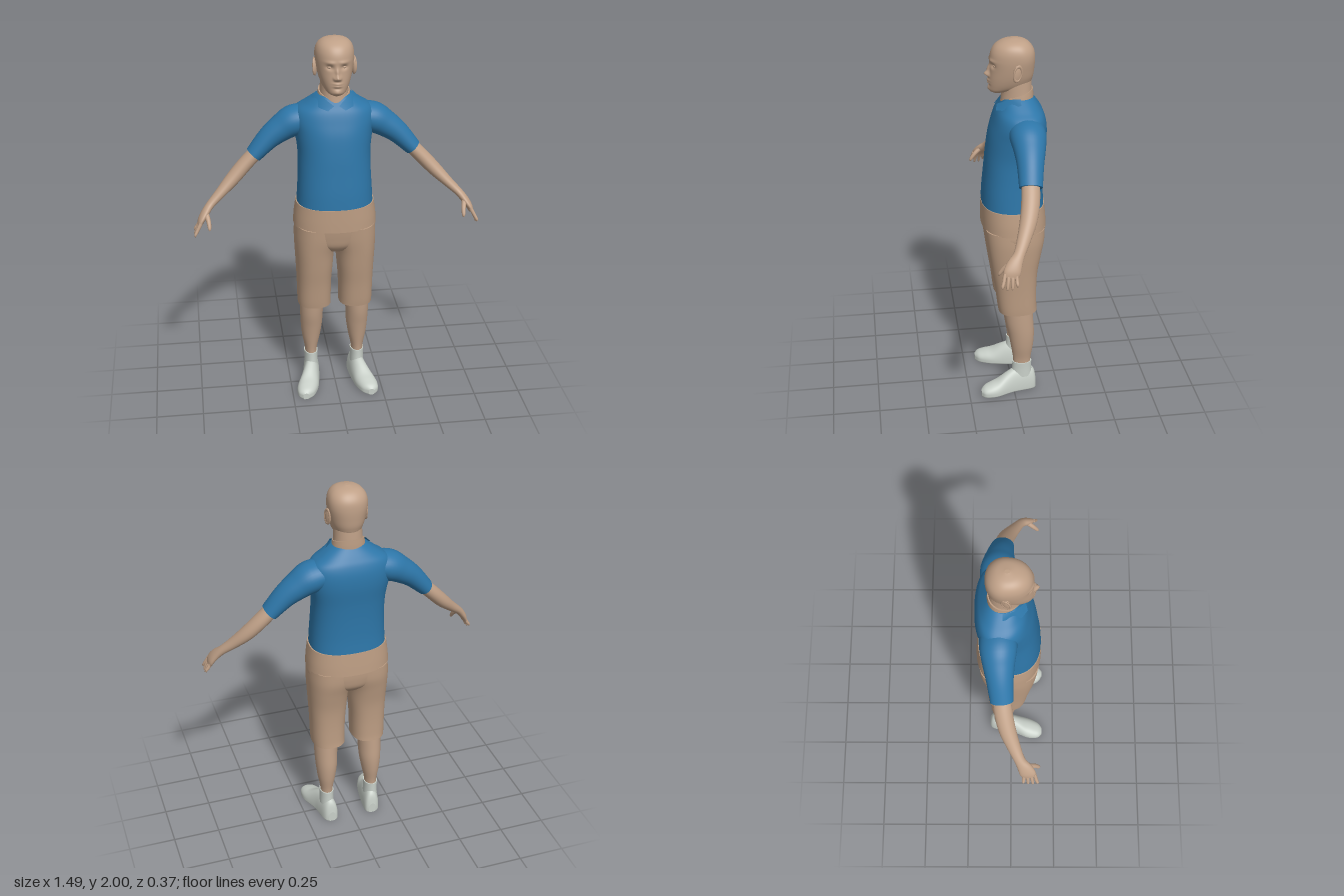
import * as THREE from 'three';

const material = (name, color, side = THREE.FrontSide) => {
  const m = new THREE.MeshStandardMaterial({ color, side });
  m.name = name;
  return m;
};

// Signed power, used for superellipse sections
const spow = (v, p) => Math.sign(v) * Math.pow(Math.abs(v), p);

// Smoothly insert in-between sections (Catmull-Rom on every column)
function refine(rows, steps) {
  const out = [];
  const at = i => rows[Math.min(Math.max(i, 0), rows.length - 1)];
  for (let i = 0; i < rows.length - 1; i++) {
    for (let k = 0; k < steps; k++) {
      const t = k / steps;
      out.push(at(i).map((b, c) => {
        const a = at(i - 1)[c], d = at(i + 1)[c], e = at(i + 2)[c];
        return b + 0.5 * t * (d - a + t * (2 * a - 5 * b + 4 * d - e + t * (3 * (b - d) + e - a)));
      }));
    }
  }
  out.push(rows[rows.length - 1]);
  return out;
}

// Skin a list of sections; point(row, angle, index, rows) gives [x, y, z]
function loft(rows, point, seg = 40, steps = 5) {
  const all = refine(rows, steps), pos = [], idx = [];
  all.forEach((row, i) => {
    for (let j = 0; j < seg; j++) pos.push(...point(row, (j / seg) * Math.PI * 2, i, all));
  });
  for (let i = 0; i < all.length - 1; i++) {
    for (let j = 0; j < seg; j++) {
      const k = (j + 1) % seg, a = i * seg, b = a + seg;
      idx.push(a + j, b + j, b + k, a + j, b + k, a + k);
    }
  }
  // End caps with their own vertices so the rim stays crisp
  for (const end of [0, all.length - 1]) {
    const base = pos.length / 3, c = [0, 0, 0];
    for (let j = 0; j < seg; j++) {
      const p = pos.slice((end * seg + j) * 3, (end * seg + j) * 3 + 3);
      p.forEach((v, n) => { c[n] += v / seg; });
      pos.push(...p);
    }
    pos.push(...c);
    for (let j = 0; j < seg; j++) {
      const k = (j + 1) % seg;
      idx.push(base + seg, base + (end ? k : j), base + (end ? j : k));
    }
  }
  const g = new THREE.BufferGeometry();
  g.setAttribute('position', new THREE.Float32BufferAttribute(pos, 3));
  g.setIndex(idx);
  g.computeVertexNormals();
  return g;
}

// Level section: [y, centre x, half width, back z, widest z, front z]
const level = n => ([y, cx, rx, zb, zm, zf], a) => {
  const c = spow(Math.cos(a), 2 / n), s = spow(Math.sin(a), 2 / n);
  return [cx + rx * c, y, zm + s * (s > 0 ? zf - zm : zm - zb)];
};

// Limb section across its path: [x, y, z, radius along z, radius across]
function limb([x, y, z, ru, rv], a, i, all) {
  const p = all[Math.max(i - 1, 0)], q = all[Math.min(i + 1, all.length - 1)];
  const t = new THREE.Vector3(q[0] - p[0], q[1] - p[1], q[2] - p[2]).normalize();
  const u = new THREE.Vector3(0, 0, 1).addScaledVector(t, -t.z).normalize();
  const v = u.clone().cross(t);
  const o = u.multiplyScalar(ru * Math.cos(a)).addScaledVector(v, rv * Math.sin(a));
  return [x + o.x, y + o.y, z + o.z];
}

// Shoe section, flat below: [z, centre x, half width, height]
function shoeSection([z, cx, w, h], a) {
  const c = Math.cos(a), s = -Math.sin(a);
  return [cx + w * spow(c, s > 0 ? 0.9 : 0.35),
    s > 0 ? 0.025 + (h - 0.025) * s : 0.025 + 0.025 * spow(s, 0.35), z];
}

function mirrored(geometry) {
  const g = geometry.clone();
  const p = g.attributes.position, ix = g.index.array;
  for (let i = 0; i < p.count; i++) p.setX(i, -p.getX(i));
  for (let i = 0; i < ix.length; i += 3) [ix[i + 1], ix[i + 2]] = [ix[i + 2], ix[i + 1]];
  g.computeVertexNormals();
  return g;
}

export function createModel() {
  const model = new THREE.Group();
  model.name = 'standingMan';
  const skin = material('skin', 0xbfa087);
  const cloth = material('beigeCloth', 0xbb9c82);
  const blue = material('blueShirt', 0x2d76a8, THREE.DoubleSide);
  const white = material('shoeWhite', 0xc8cfc8);

  const add = (name, geometry, mat) => {
    const m = new THREE.Mesh(geometry, mat);
    m.name = name;
    model.add(m);
  };
  const pair = (name, geometry, mat) => {
    add(name + 'Left', geometry, mat);
    add(name + 'Right', mirrored(geometry), mat);
  };

  // Head, with features pushed out of or into the face
  const head = loft([
    [1.722, 0, 0.02, 0.03, 0.065, 0.09], [1.735, 0, 0.045, -0.02, 0.05, 0.106],
    [1.76, 0, 0.066, -0.09, 0.01, 0.111], [1.80, 0, 0.082, -0.112, -0.01, 0.110],
    [1.85, 0, 0.093, -0.12, -0.02, 0.105], [1.90, 0, 0.099, -0.123, -0.03, 0.105],
    [1.94, 0, 0.096, -0.118, -0.03, 0.096], [1.97, 0, 0.082, -0.1, -0.025, 0.075],
    [1.99, 0, 0.055, -0.072, -0.02, 0.04], [2.0, 0, 0.01, -0.03, -0.02, -0.005],
  ], level(2.15), 128, 9);
  const bumps = [ // x, y, width, height, push
    [0, 1.822, 0.013, 0.013, 0.024], [0, 1.848, 0.009, 0.02, 0.013], [0.014, 1.817, 0.007, 0.008, 0.009],
    [0.036, 1.872, 0.017, 0.011, -0.013], [0.035, 1.897, 0.025, 0.008, 0.005],
    [0, 1.791, 0.02, 0.005, 0.009], [0, 1.778, 0.018, 0.005, 0.008],
    [0, 1.766, 0.02, 0.006, -0.004], [0, 1.745, 0.02, 0.012, 0.006],
  ];
  const hp = head.attributes.position;
  for (let i = 0; i < hp.count; i++) {
    if (hp.getZ(i) < 0.03) continue;
    let push = 0;
    for (const [x, y, w, h, d] of bumps)
      push += d * Math.exp(-(((Math.abs(hp.getX(i)) - x) / w) ** 2) - ((hp.getY(i) - y) / h) ** 2);
    hp.setZ(i, hp.getZ(i) + push);
  }
  head.computeVertexNormals();
  add('head', head, skin);
  pair('eyelid', new THREE.SphereGeometry(0.012, 20, 14).scale(1.15, 0.75, 1).translate(0.036, 1.871, 0.079), skin);
  pair('ear', new THREE.SphereGeometry(1, 20, 16).scale(0.01, 0.046, 0.024)
    .rotateX(-0.15).rotateY(0.3).translate(0.097, 1.845, -0.022), skin);
  pair('earRim', new THREE.TorusGeometry(0.021, 0.005, 8, 24).scale(1, 1.8, 1)
    .rotateY(Math.PI / 2 + 0.3).rotateX(-0.15).translate(0.102, 1.847, -0.024), skin);
  add('neck', loft([
    [1.64, 0, 0.075, -0.105, -0.04, 0.055], [1.70, 0, 0.074, -0.108, -0.04, 0.048],
    [1.74, 0, 0.072, -0.108, -0.035, 0.046], [1.80, 0, 0.07, -0.105, -0.03, 0.05],
  ], level(2.1)), skin);

  // Shirt body, collar and hem
  add('shirtBody', loft([
    [1.12, 0, 0.2, -0.17, -0.02, 0.155], [1.2, 0, 0.195, -0.165, -0.02, 0.15],
    [1.3, 0, 0.19, -0.165, -0.03, 0.14], [1.4, 0, 0.19, -0.17, -0.05, 0.13],
    [1.5, 0, 0.203, -0.18, -0.07, 0.115], [1.57, 0, 0.212, -0.178, -0.07, 0.095],
    [1.62, 0, 0.198, -0.165, -0.07, 0.078], [1.655, 0, 0.15, -0.145, -0.06, 0.06],
    [1.69, 0, 0.1, -0.12, -0.045, 0.042], [1.70, 0, 0.085, -0.112, -0.04, 0.036],
  ], level(2.4), 56), blue);
  const ring = level(2.1);
  add('neckBand', loft([
    [1.69, 0, 0.088, -0.117, -0.04, 0.052], [1.715, 0, 0.085, -0.116, -0.04, 0.05],
    [1.742, 0, 0.08, -0.114, -0.04, 0.046],
  ], (row, a) => {
    const [x, y, z] = ring(row, a);
    return [x, y - 0.3 * (z + 0.115), z];
  }), cloth);
  const flap = new THREE.BufferGeometry();
  flap.setAttribute('position', new THREE.Float32BufferAttribute([
    0.092, 1.71, -0.04, 0.078, 1.705, 0.015, 0.012, 1.662, 0.07,
    0.118, 1.685, -0.04, 0.088, 1.652, 0.052, 0.045, 1.64, 0.08,
  ], 3));
  flap.setIndex([0, 3, 1, 1, 3, 4, 1, 4, 2, 2, 4, 5]);
  flap.computeVertexNormals();
  pair('collarFlap', flap, blue);
  add('hemBand', loft([
    [0.995, 0, 0.22, -0.184, -0.02, 0.158], [1.05, 0, 0.216, -0.18, -0.02, 0.158],
    [1.122, 0, 0.206, -0.173, -0.02, 0.157],
  ], level(2.4), 56), cloth);

  // Shorts
  add('shortsSeat', loft([
    [0.86, 0, 0.08, -0.12, -0.02, 0.1], [0.9, 0, 0.17, -0.155, -0.02, 0.13],
    [0.95, 0, 0.213, -0.167, -0.02, 0.142], [1.0, 0, 0.214, -0.17, -0.02, 0.15],
  ], level(2.4), 56), cloth);
  pair('shortsLeg', loft([
    [0.51, 0.112, 0.09, -0.128, -0.02, 0.08], [0.55, 0.113, 0.091, -0.125, -0.02, 0.086],
    [0.65, 0.113, 0.093, -0.124, -0.02, 0.098], [0.75, 0.111, 0.099, -0.13, -0.02, 0.114],
    [0.85, 0.109, 0.106, -0.148, -0.02, 0.128], [0.93, 0.098, 0.119, -0.165, -0.02, 0.139],
    [1.0, 0.095, 0.118, -0.168, -0.02, 0.145],
  ], level(2.4)), cloth);

  // Legs, socks and shoes
  pair('leg', loft([
    [0.14, 0.13, 0.034, -0.094, -0.05, 0], [0.2, 0.13, 0.034, -0.095, -0.05, 0.002],
    [0.28, 0.129, 0.049, -0.108, -0.045, 0.014], [0.36, 0.127, 0.059, -0.113, -0.04, 0.028],
    [0.45, 0.126, 0.063, -0.108, -0.03, 0.045], [0.58, 0.12, 0.068, -0.1, -0.02, 0.056],
  ], level(2)), skin);
  pair('sock', loft([
    [0.09, 0.13, 0.038, -0.102, -0.05, 0.012], [0.14, 0.13, 0.037, -0.1, -0.05, 0.007],
    [0.18, 0.13, 0.038, -0.1, -0.05, 0.006],
  ], level(2)), white);
  pair('shoe', loft([
    [-0.125, 0.12, 0.02, 0.06], [-0.115, 0.121, 0.035, 0.11], [-0.09, 0.124, 0.043, 0.135],
    [-0.04, 0.13, 0.046, 0.138], [0, 0.136, 0.048, 0.132], [0.04, 0.146, 0.052, 0.112],
    [0.09, 0.161, 0.058, 0.08], [0.13, 0.171, 0.054, 0.066], [0.165, 0.178, 0.041, 0.053],
    [0.185, 0.182, 0.015, 0.036],
  ], shoeSection), white);

  // Sleeves, arms and hands
  pair('sleeve', loft([
    [0.1, 1.575, -0.062, 0.085, 0.06], [0.2, 1.552, -0.062, 0.092, 0.08],
    [0.27, 1.513, -0.06, 0.08, 0.07], [0.34, 1.46, -0.054, 0.067, 0.058],
    [0.418, 1.378, -0.045, 0.058, 0.044],
  ], limb), blue);
  pair('arm', loft([
    [0.38, 1.415, -0.048, 0.045, 0.036], [0.46, 1.335, -0.038, 0.046, 0.038],
    [0.53, 1.262, -0.018, 0.043, 0.036], [0.6, 1.195, 0.015, 0.034, 0.027],
    [0.655, 1.145, 0.045, 0.028, 0.021], [0.685, 1.11, 0.07, 0.037, 0.02],
    [0.705, 1.08, 0.085, 0.041, 0.017], [0.715, 1.055, 0.093, 0.036, 0.012],
  ], limb), skin);
  [1.016, 1.002, 1.0, 1.01].forEach((tip, k) => {
    const z = 0.066 + 0.018 * k, end = 0.064 + 0.024 * k;
    pair('finger' + (k + 1), loft([
      [0.708, 1.075, z, 0.009, 0.01], [0.726, 1.042, (z + end) / 2, 0.009, 0.009],
      [0.738, tip + 0.01, end, 0.007, 0.007], [0.739, tip, end, 0.003, 0.003],
    ], limb, 14), skin);
  });
  pair('thumb', loft([
    [0.678, 1.115, 0.085, 0.014, 0.014], [0.668, 1.085, 0.118, 0.012, 0.012],
    [0.665, 1.055, 0.14, 0.009, 0.009], [0.665, 1.043, 0.145, 0.003, 0.003],
  ], limb, 14), skin);

  return model;
}
